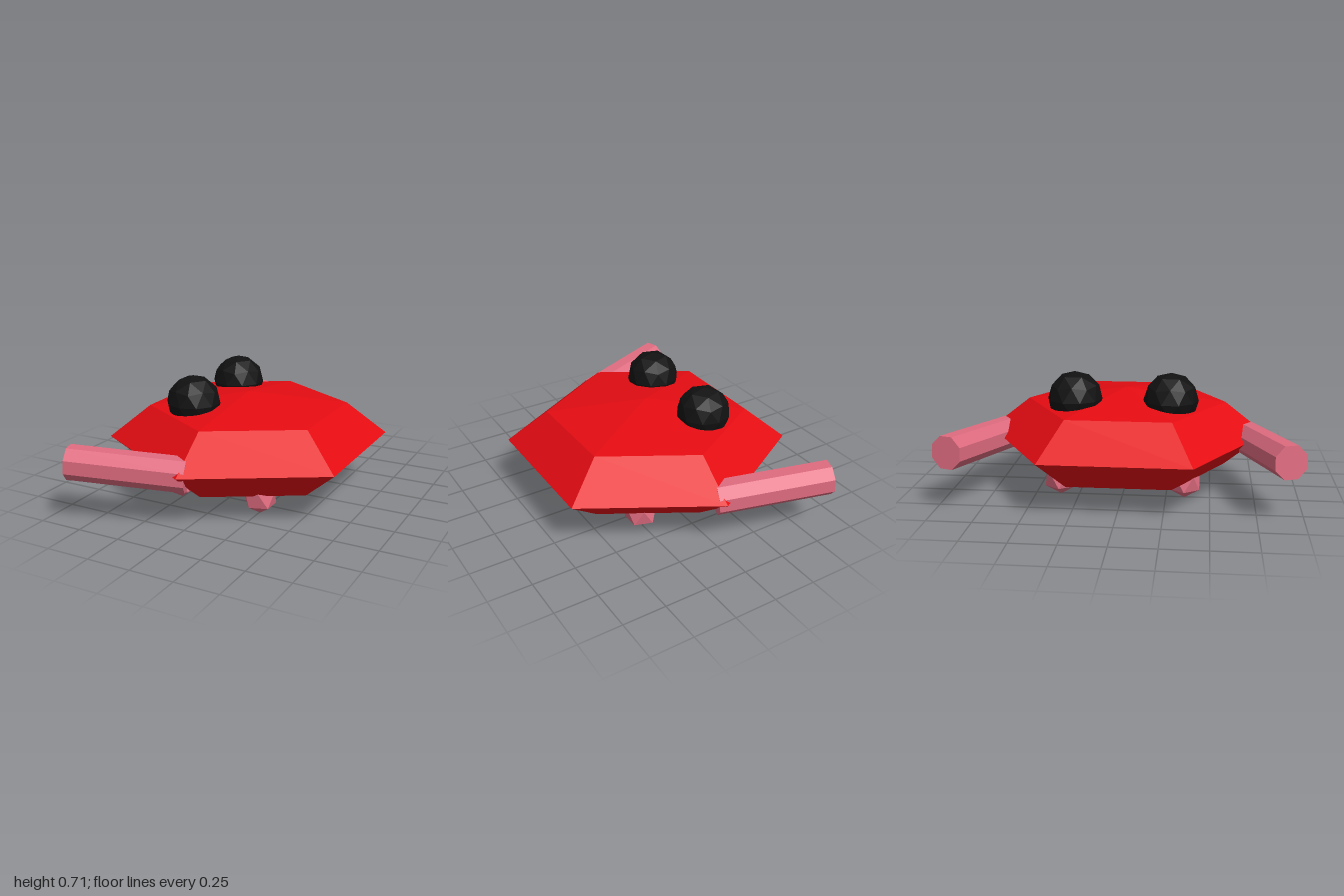
import * as THREE from 'three';

const material = (color) => new THREE.MeshStandardMaterial({ color, flatShading: true });

// Icosahedron turned so that one corner points straight up
function uprightIcosahedron(radius, detail) {
  const geometry = new THREE.IcosahedronGeometry(radius, detail);
  geometry.rotateX(-Math.atan((1 + Math.sqrt(5)) / 2));
  geometry.rotateY(Math.PI / 2);
  return geometry;
}

export function createModel() {
  const model = new THREE.Group();
  const red = material(0xe50c12);
  const pink = material(0xe06c80);
  const black = material(0x111111);

  const add = (name, geometry, mat, x, y, z) => {
    const mesh = new THREE.Mesh(geometry, mat);
    mesh.name = name;
    mesh.position.set(x, y, z);
    model.add(mesh);
    return mesh;
  };

  // Flattened six-sided body with corners on the z axis
  const bodyGeometry = new THREE.SphereGeometry(0.82, 6, 4);
  bodyGeometry.rotateY(Math.PI / 2);
  bodyGeometry.scale(1, 0.267 / 0.82, 1);
  add('body', bodyGeometry, red, 0, 0.316, 0);

  const eyeGeometry = uprightIcosahedron(0.155, 1);
  const footGeometry = uprightIcosahedron(0.1, 0);

  // Eight-sided arm, flat side up, lying along z before it is aimed
  const inner = new THREE.Vector3(-0.005, 0.297, 0.7);
  const outer = new THREE.Vector3(-0.615, 0.337, 0.912);
  const armGeometry = new THREE.CylinderGeometry(0.097, 0.097, inner.distanceTo(outer), 8);
  armGeometry.rotateY(Math.PI / 8);
  armGeometry.rotateX(Math.PI / 2);

  for (const side of [1, -1]) {
    const end = side > 0 ? 'front' : 'back';
    const flip = new THREE.Vector3(1, 1, side);

    add(end + 'Eye', eyeGeometry, black, -0.215, 0.56, 0.271 * side);

    const middle = inner.clone().add(outer).multiplyScalar(0.5).multiply(flip);
    const arm = add(end + 'Arm', armGeometry, pink, middle.x, middle.y, middle.z);
    arm.lookAt(outer.clone().multiply(flip));

    for (const x of [-0.255, 0.255]) {
      add(end + (x > 0 ? 'LeftFoot' : 'RightFoot'), footGeometry, pink, x, 0.1, 0.355 * side);
    }
  }

  return model;
}
